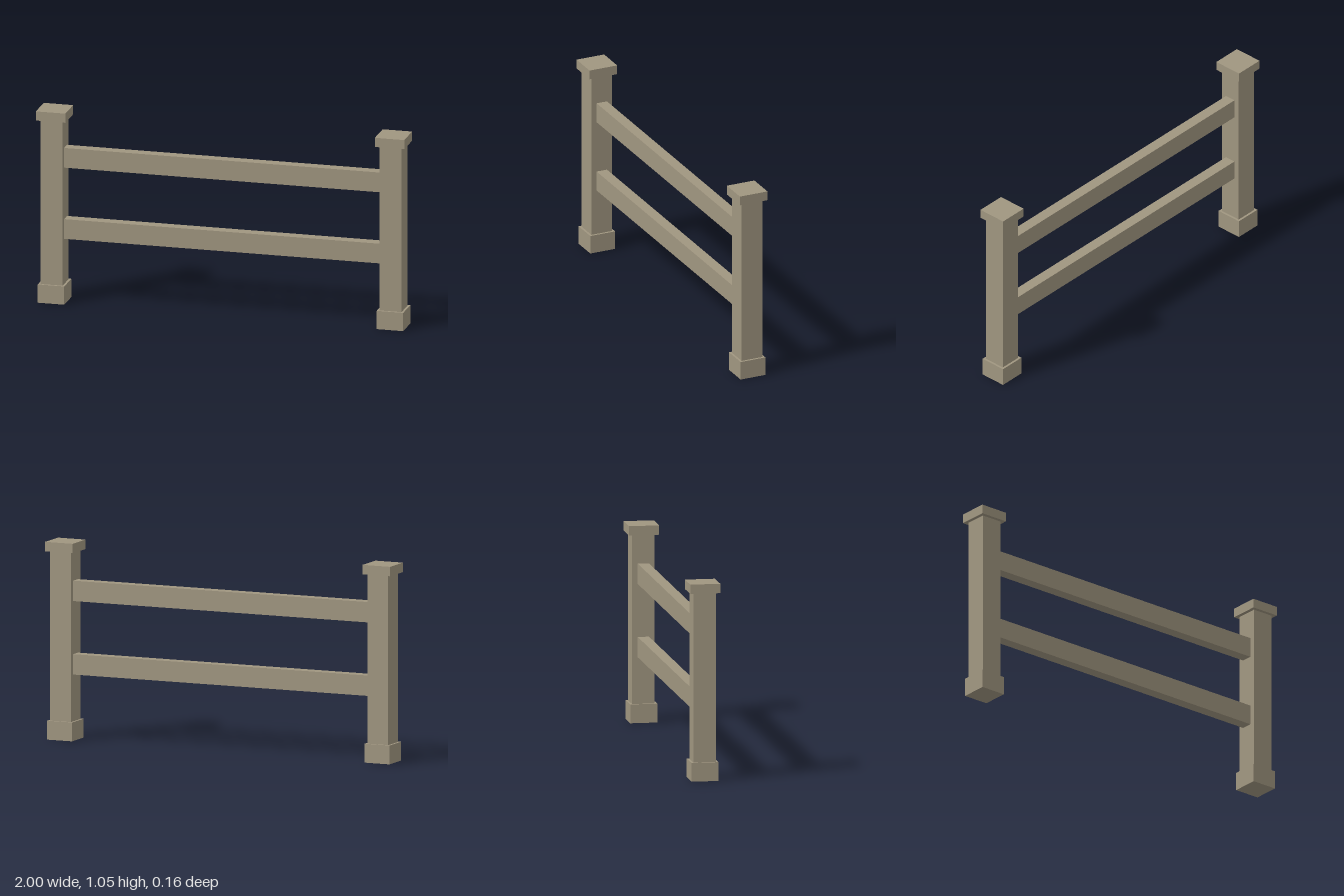
import * as THREE from 'three';

export function createModel() {
  const model = new THREE.Group();
  model.name = 'fence';
  const wood = new THREE.MeshStandardMaterial({ color: 0xa09680 });
  wood.name = 'weathered wood';

  // Box spanning y0 to y1, centred on z = 0
  function addBox(parent, name, width, depth, y0, y1) {
    const mesh = new THREE.Mesh(new THREE.BoxGeometry(width, y1 - y0, depth), wood);
    mesh.name = name;
    mesh.position.y = (y0 + y1) / 2;
    parent.add(mesh);
  }

  // Matching posts, each with a base and a cap
  for (const [side, x] of [['left', 0.92], ['right', -0.92]]) {
    const post = new THREE.Group();
    post.name = side + 'Post';
    post.position.x = x;
    addBox(post, 'base', 0.144, 0.144, 0, 0.1);
    addBox(post, 'shaft', 0.12, 0.12, 0.1, 1);
    addBox(post, 'cap', 0.16, 0.16, 1, 1.05);
    model.add(post);
  }

  // Horizontal rails between the posts
  addBox(model, 'lowerRail', 1.72, 0.06, 0.348, 0.456);
  addBox(model, 'upperRail', 1.72, 0.06, 0.738, 0.846);

  return model;
}
